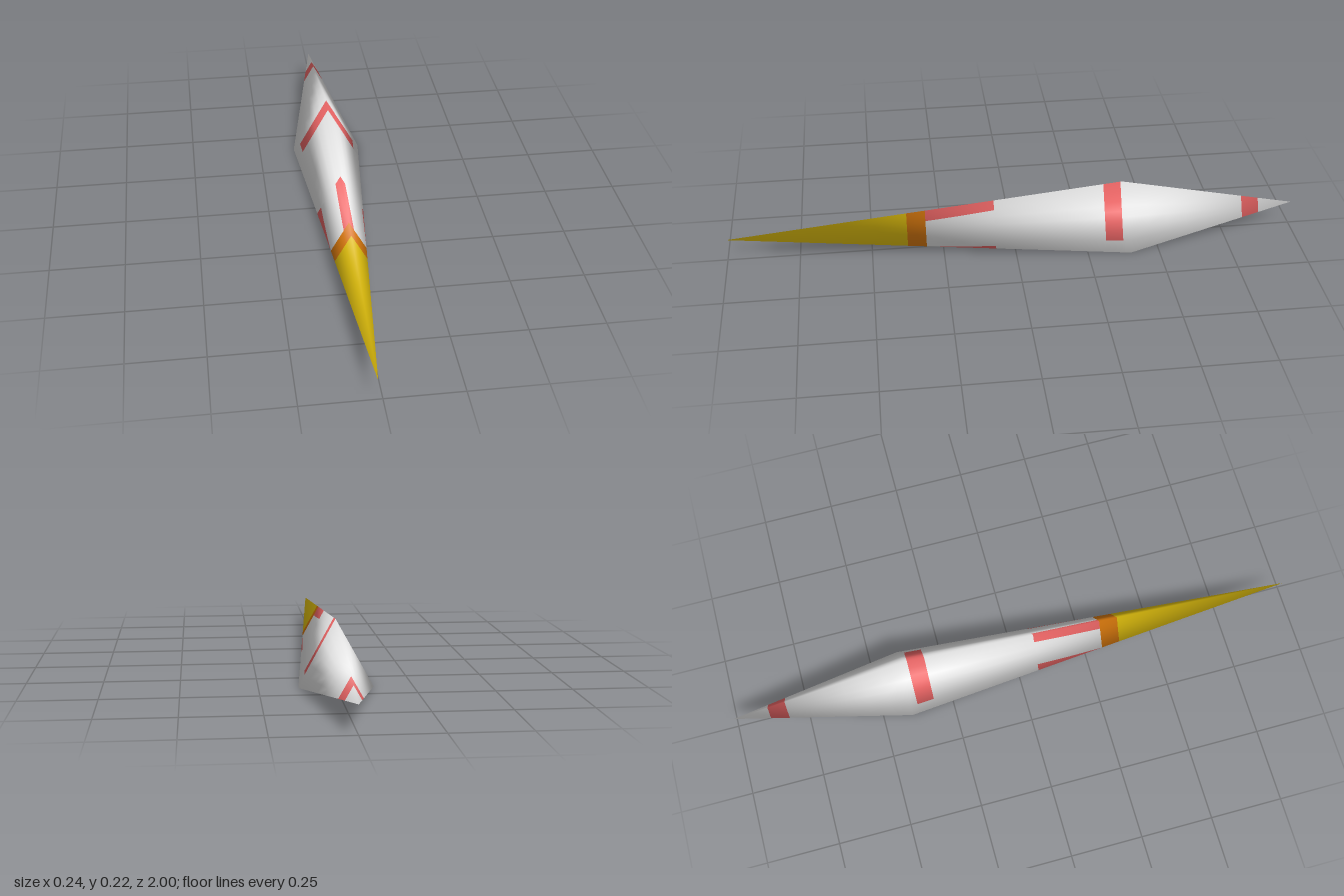
import * as THREE from 'three';

const material = (name, color) => {
  const m = new THREE.MeshStandardMaterial({ color });
  m.name = name;
  return m;
};

// Corners of the long three-sided spindle: nose, tail, then the widest ring (top, left, right)
const corners = [
  [-0.015, 0.075, 1], [0, 0.09, -1],
  [0, 0.222, -0.38], [0.122, 0.002, -0.4], [-0.122, 0.002, -0.4],
].map((p) => new THREE.Vector3(...p));
const NOSE = 0, TAIL = 1, TOP = 2, LEFT = 3, RIGHT = 4;
const sides = [[TOP, LEFT], [LEFT, RIGHT], [RIGHT, TOP]];

// Soft normals shared by all six faces
function cornerNormals() {
  const g = new THREE.BufferGeometry().setFromPoints(corners);
  g.setIndex(sides.flatMap(([a, b]) => [NOSE, b, a, TAIL, a, b]));
  g.computeVertexNormals();
  return corners.map((_, i) => new THREE.Vector3().fromBufferAttribute(g.attributes.normal, i));
}

export function createModel() {
  const group = new THREE.Group();
  group.name = 'spindle';
  const normals = cornerNormals();

  const white = material('pale grey', 0xe2e2e2);
  const red = material('soft red', 0xe86464);
  const orange = material('orange', 0xd8780c);
  const yellow = material('yellow', 0xdfbe0c);
  const parts = {
    hull: white, ringStripe: red, noseDarts: red, tailBand: red, noseBand: orange, noseCone: yellow,
  };
  const data = {};
  for (const name in parts) data[name] = { pos: [], nor: [], idx: [] };

  // Point on a face at length z and fraction s across it from corner a to corner b
  const sample = (tip, a, b, z, s) => {
    const base = corners[a].z + (corners[b].z - corners[a].z) * s;
    const t = THREE.MathUtils.clamp((z - base) / (corners[tip].z - base), 0, 1);
    const mix = (v) => v[a].clone().lerp(v[b], s).lerp(v[tip], t);
    return [mix(corners), mix(normals).normalize()];
  };

  // Patch from z0 to z1; its across-limits are [s at z0, s at z1]
  const patch = (name, side, tip, z0, z1, from, to) => {
    const { pos, nor, idx } = data[name];
    const [a, b] = sides[side];
    const n = 6, start = pos.length / 3;
    for (let i = 0; i <= n; i++) {
      const k = i / n;
      const s0 = THREE.MathUtils.lerp(from[0], from[1], k);
      const s1 = THREE.MathUtils.lerp(to[0], to[1], k);
      for (let j = 0; j <= n; j++) {
        const s = s0 + (s1 - s0) * j / n;
        const [p, q] = sample(tip, a, b, z0 + (z1 - z0) * k, s);
        pos.push(...p.toArray());
        nor.push(...q.toArray());
        if (i < n && j < n) {
          const c = start + i * (n + 1) + j, d = c + n + 1;
          if (tip === NOSE) idx.push(c, d, c + 1, c + 1, d, d + 1);
          else idx.push(c, c + 1, d, c + 1, d + 1, d);
        }
      }
    }
  };

  // A length of one face divided across by limits, with one part name per piece
  const section = (side, tip, z0, z1, names, limits = []) => {
    const all = [[0, 0], ...limits, [1, 1]];
    names.forEach((name, i) => patch(name, side, tip, z0, z1, all[i], all[i + 1]));
  };

  const stripe = [
    [['ringStripe', 'hull'], [[0.83, 0.83]]],
    [['hull', 'ringStripe', 'hull'], [[0.13, 0.13], [0.87, 0.87]]],
    [['hull', 'ringStripe'], [[0.17, 0.17]]],
  ];
  const darts = [
    [['noseDarts', 'hull', 'noseDarts'], [[0.2, 0.29], [0.95, 1]]],
    [['hull', 'noseDarts', 'hull'], [[0.39, 0.34], [0.56, 0.57]]],
    [['noseDarts', 'hull', 'noseDarts'], [[0.17, 0], [0.8, 0.72]]],
  ];

  for (let side = 0; side < 3; side++) {
    // Front half, widest ring to nose
    section(side, NOSE, -0.4, -0.375, ['hull']);
    section(side, NOSE, -0.375, -0.315, ...stripe[side]);
    section(side, NOSE, -0.315, 0.07, ['hull']);
    section(side, NOSE, 0.07, 0.31, ...darts[side]);
    section(side, NOSE, 0.31, 0.375, ['noseBand']);
    section(side, NOSE, 0.375, 1, ['noseCone']);
    // Rear half, widest ring to tail
    section(side, TAIL, -0.38, -0.4, ['hull']);
    section(side, TAIL, -0.4, -0.815, ['hull']);
    section(side, TAIL, -0.815, -0.877, ['tailBand']);
    section(side, TAIL, -0.877, -1, ['hull']);
  }

  for (const name in parts) {
    const { pos, nor, idx } = data[name];
    const g = new THREE.BufferGeometry();
    g.setAttribute('position', new THREE.Float32BufferAttribute(pos, 3));
    g.setAttribute('normal', new THREE.Float32BufferAttribute(nor, 3));
    g.setIndex(idx);
    const mesh = new THREE.Mesh(g, parts[name]);
    mesh.name = name;
    group.add(mesh);
  }
  return group;
}
